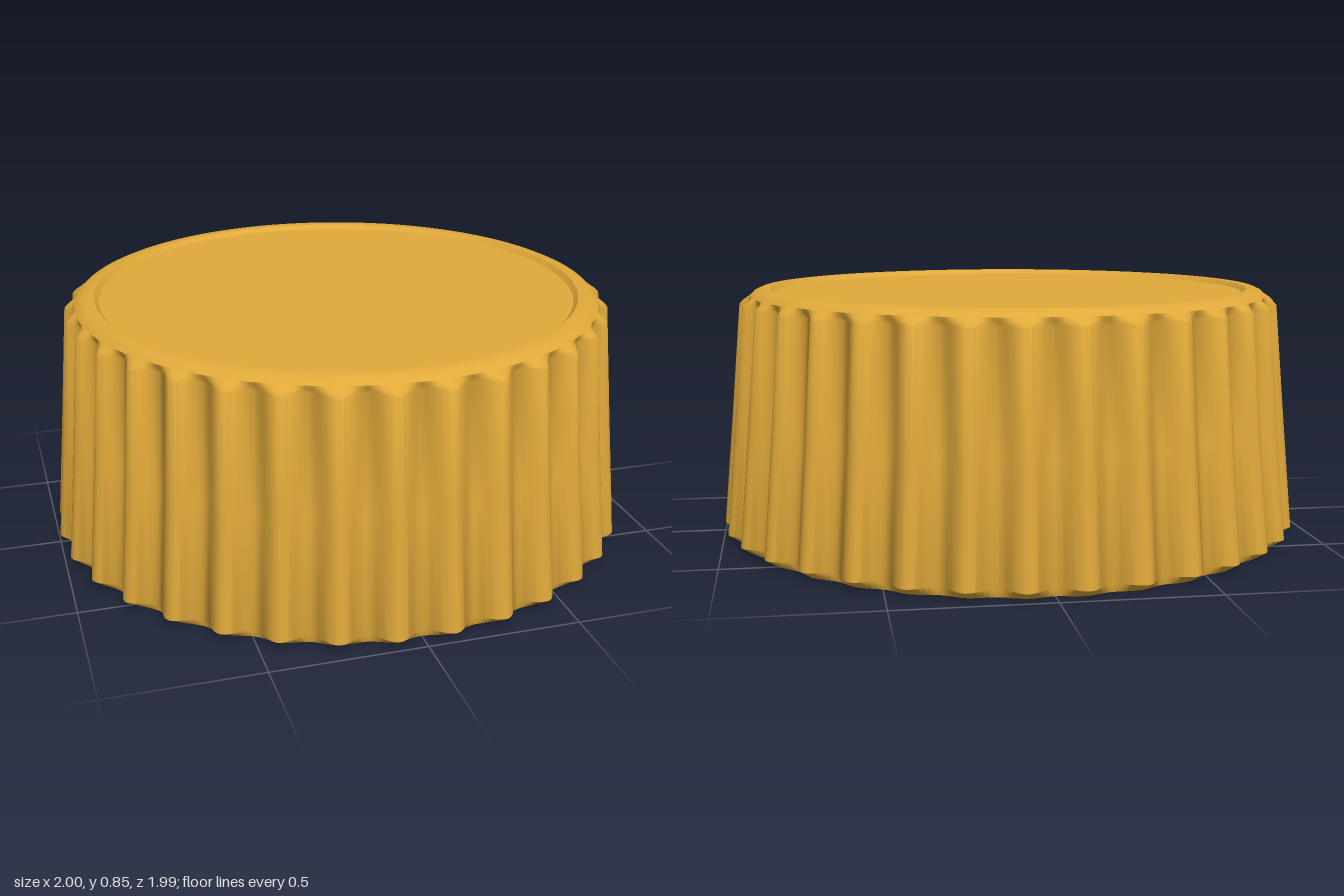
import * as THREE from 'three';
import { toCreasedNormals } from 'three/addons/utils/BufferGeometryUtils.js';

const FLUTES = 34;
const SEGMENTS = FLUTES * 12;

// Lathe whose radius ripples round the axis; each row is [mean radius, height, ripple]
function flutedLathe(rows) {
  const profile = rows.map(([r, y]) => new THREE.Vector2(r, y));
  const geometry = new THREE.LatheGeometry(profile, SEGMENTS);
  const pos = geometry.attributes.position;
  for (let i = 0; i < pos.count; i++) {
    const [r, y, ripple] = rows[i % rows.length];
    const angle = (Math.floor(i / rows.length) % SEGMENTS) / SEGMENTS * Math.PI * 2;
    const radius = r - ripple * Math.cos(FLUTES * angle);
    pos.setXYZ(i, radius * Math.sin(angle), y, radius * Math.cos(angle));
  }
  return toCreasedNormals(geometry, 0.7);
}

export function createModel() {
  const group = new THREE.Group();
  const gold = new THREE.MeshStandardMaterial({ color: 0xe0a93a });
  gold.name = 'gold';

  function add(name, geometry) {
    const mesh = new THREE.Mesh(geometry, gold);
    mesh.name = name;
    group.add(mesh);
    return mesh;
  }

  // Tapered wall with vertical flutes, bevelled at the foot
  add('flutedWall', flutedLathe([
    [0.945, 0, 0.008],
    [0.972, 0.028, 0.028],
    [0.938, 0.41, 0.026],
    [0.905, 0.795, 0.024],
    [0.902, 0.808, 0.014],
    [0.893, 0.822, 0],
  ]));

  // Smooth rounded rim with a small step down to the recess
  add('topRim', flutedLathe([
    [0.893, 0.822, 0],
    [0.878, 0.836, 0],
    [0.858, 0.845, 0],
    [0.825, 0.845, 0],
    [0.81, 0.83, 0],
  ]));

  // Flat faces closing the top and the bottom
  const topDisc = add('topDisc', new THREE.CircleGeometry(0.811, 128));
  topDisc.rotation.x = -Math.PI / 2;
  topDisc.position.y = 0.83;
  add('bottomFace', flutedLathe([[0, 0, 0], [0.945, 0, 0.008]]));

  return group;
}
